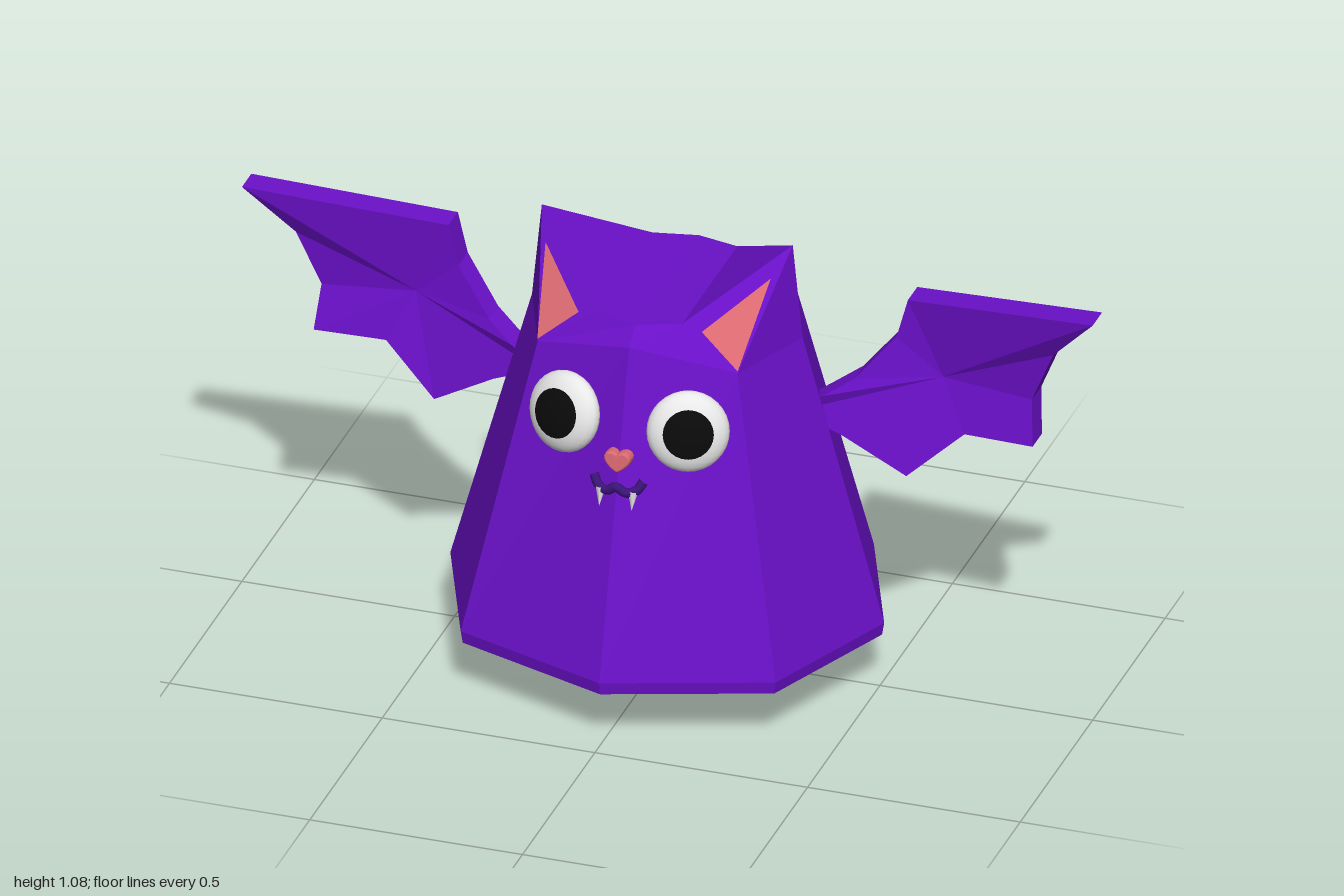
import * as THREE from 'three';

const mat = (name, color, side = THREE.FrontSide) => {
  const m = new THREE.MeshStandardMaterial({ color, side });
  m.name = name;
  return m;
};

// Flat-faced geometry from a list of convex polygons, each an array of [x, y, z]
function facets(polys) {
  const pos = [];
  for (const p of polys)
    for (let i = 1; i < p.length - 1; i++) pos.push(...p[0], ...p[i], ...p[i + 1]);
  const g = new THREE.BufferGeometry();
  g.setAttribute('position', new THREE.Float32BufferAttribute(pos, 3));
  g.computeVertexNormals();
  return g;
}

// Mirror polygons, reversing the corners when the handedness changes
const mirror = (polys, sx, sz = 1) => polys.map(p => {
  const q = p.map(([x, y, z]) => [x * sx, y, z * sz]);
  return sx * sz < 0 ? q.reverse() : q;
});

export function createModel() {
  const purple = mat('purple fur', 0x6a10c8);
  const pink = mat('pink', 0xdc6a72, THREE.DoubleSide);
  const white = mat('white', 0xf0f0f0);
  const black = mat('black', 0x0a0a0a);
  const dark = mat('dark violet', 0x3c1478);

  const model = new THREE.Group();
  const add = (name, geo, material, parent = model) => {
    const m = new THREE.Mesh(geo, material);
    m.name = name;
    parent.add(m);
    return m;
  };

  // Body: one quarter of an eight-sided tapered block, mirrored four ways
  const ring = (y, s) => [[0, y, 0.47 * s], [0.37 * s, y, 0.34 * s], [0.51 * s, y, 0]];
  const D = [0.235, 0.85, 0.205], S = [0.318, 0.85, 0], T = [0.295, 1.08, 0];
  const F = [0, 0.905, 0.265], F2 = [0, 0.94, 0.22], E = [0.1, 0.945, 0.19];
  const Em = [0.1, 0.945, 0], C = [0, 0.94, 0];
  const rings = [ring(0.12, 0.93), ring(0.13, 0.99), ring(0.16, 1), [F, D, S]];
  const quarter = [
    [F, D, E, F2], [D, T, E], [D, S, T],      // brow, ear front, ear side
    [F2, E, Em, C], [E, T, Em],               // crown and inner ear slope
    [[0, 0.12, 0], ...[...rings[0]].reverse()], // underside
  ];
  for (let r = 0; r < 3; r++)
    for (let i = 0; i < 2; i++)
      quarter.push([rings[r][i], rings[r][i + 1], rings[r + 1][i + 1], rings[r + 1][i]]);
  const body = [];
  for (const sx of [1, -1]) for (const sz of [1, -1]) body.push(...mirror(quarter, sx, sz));
  add('body', facets(body), purple);

  // Ear lining: a thin triangle laid on the ear front
  const onEar = (d, e, t) => [0, 1, 2].map(i =>
    D[i] * d + E[i] * e + T[i] * t + 0.004 * [0.325, 0.58, 0.746][i]);
  const lining = [[onEar(0.98, 0.01, 0.01), onEar(0.2, 0.1, 0.7), onEar(0.25, 0.7, 0.05)]];

  // Wing: scalloped outline fanned from a hub, given thickness towards the back
  const outline = [
    [1, 1, 0], [0.54, 0.945, -0.075], [0.515, 0.85, -0.07], [0.43, 0.75, -0.03],
    [0.365, 0.71, 0], [0.3, 0.665, 0.01], [0.41, 0.615, -0.005], [0.555, 0.53, -0.02],
    [0.68, 0.64, -0.055], [0.845, 0.645, -0.04], [0.835, 0.75, -0.065], [0.89, 0.88, -0.05],
  ];
  const hub = [0.62, 0.76, -0.085];
  const back = ([x, y, z]) => [x, y, z - 0.065];
  const wing = [];
  outline.forEach((a, i) => {
    const b = outline[(i + 1) % outline.length];
    wing.push([hub, a, b], [back(hub), back(b), back(a)], [a, back(a), back(b), b]);
  });

  // Paired parts
  for (const [side, sx] of [['left', 1], ['right', -1]]) {
    add(side + 'EarLining', facets(mirror(lining, sx)), pink);
    add(side + 'Wing', facets(mirror(wing, sx)), purple);

    const foot = add(side + 'Foot', new THREE.SphereGeometry(0.108, 10, 10), purple);
    foot.scale.set(1.05, 1, 0.97);
    foot.position.set(0.205 * sx, 0.108, 0);

    // Eye: a flattened ball facing along the face panel, with a pupil cap
    const eye = new THREE.Group();
    eye.name = side + 'Eye';
    eye.position.set(0.145 * sx, 0.728, 0.282);
    eye.rotation.set(-0.25, 0.337 * sx, 0, 'YXZ');
    eye.scale.set(1, 1, 0.45);
    model.add(eye);
    add(side + 'Eyeball', new THREE.SphereGeometry(0.093, 24, 16), white, eye);
    const pupil = new THREE.SphereGeometry(0.0955, 24, 8, 0, Math.PI * 2, 0, 0.64);
    pupil.rotateX(Math.PI / 2);
    add(side + 'Pupil', pupil, black, eye);

    const fang = add(side + 'Fang', new THREE.ConeGeometry(0.012, 0.045, 8), white);
    fang.rotation.x = Math.PI - 0.25;
    fang.position.set(0.038 * sx, 0.568, 0.354);
  }

  // Heart-shaped nose
  const heart = new THREE.Shape();
  heart.moveTo(0, -0.02);
  heart.bezierCurveTo(0.012, -0.014, 0.028, 0, 0.026, 0.011);
  heart.bezierCurveTo(0.023, 0.023, 0.006, 0.023, 0, 0.011);
  heart.bezierCurveTo(-0.006, 0.023, -0.023, 0.023, -0.026, 0.011);
  heart.bezierCurveTo(-0.028, 0, -0.012, -0.014, 0, -0.02);
  const nose = add('nose', new THREE.ExtrudeGeometry(heart, {
    depth: 0.02, bevelSize: 0.005, bevelThickness: 0.008, bevelSegments: 3, curveSegments: 6,
  }), pink);
  nose.position.set(0, 0.655, 0.324);
  nose.rotation.x = -0.1;

  // Mouth: a double curve
  const smile = new THREE.CatmullRomCurve3([
    [-0.058, 0.612, 0.334], [-0.045, 0.592, 0.344], [-0.022, 0.586, 0.352], [0, 0.598, 0.354],
    [0.022, 0.586, 0.352], [0.045, 0.592, 0.344], [0.058, 0.612, 0.334],
  ].map(p => new THREE.Vector3(...p)));
  add('mouth', new THREE.TubeGeometry(smile, 24, 0.011, 8), dark);

  return model;
}
